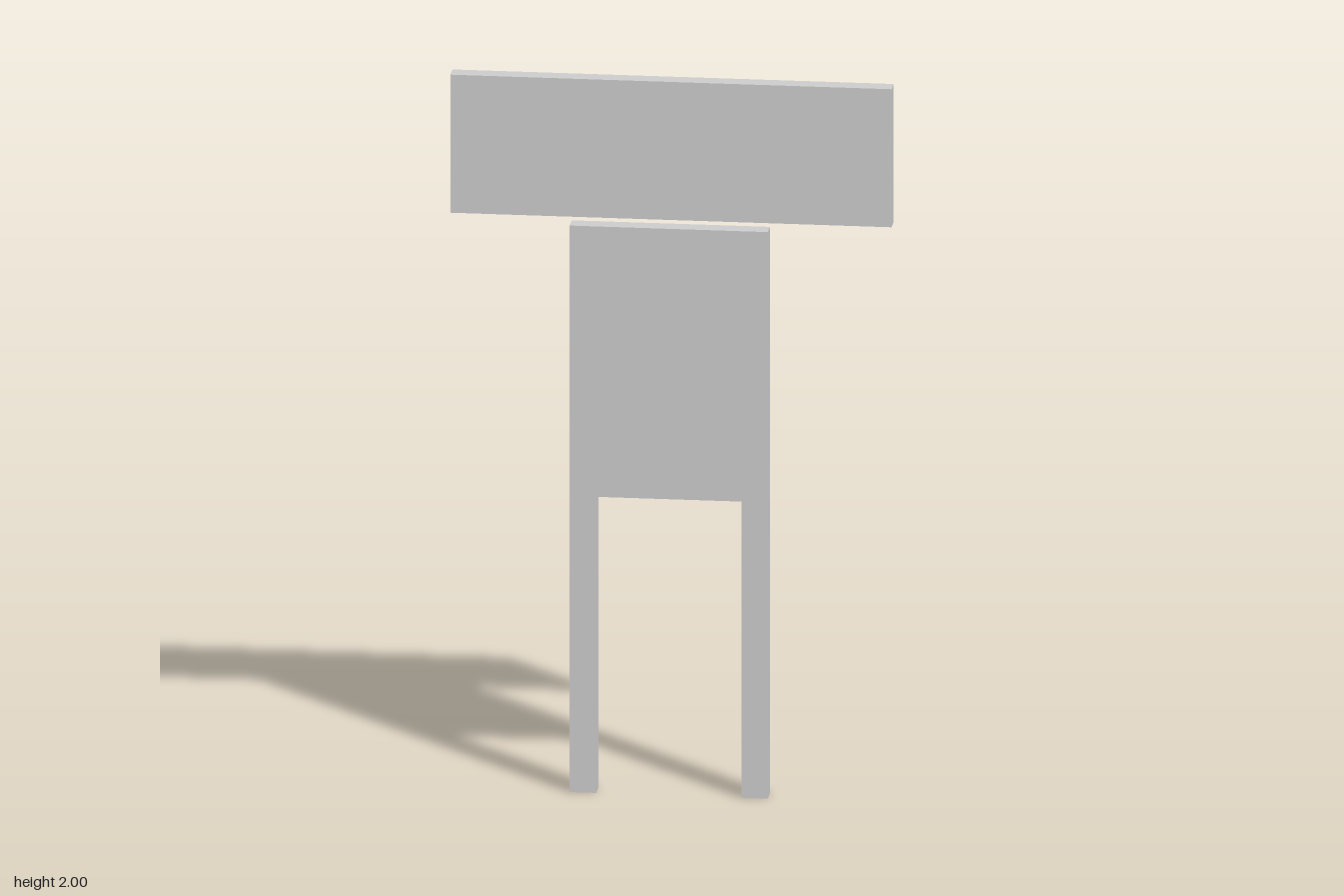
import * as THREE from 'three';

const DEPTH = 0.05;

export function createModel() {
  const model = new THREE.Group();
  const material = new THREE.MeshStandardMaterial({ color: 0xcccccc, flatShading: true });

  // Flat slab given by its left, right, bottom and top edges
  function slab(name, x0, x1, y0, y1) {
    const mesh = new THREE.Mesh(new THREE.BoxGeometry(x1 - x0, y1 - y0, DEPTH), material);
    mesh.position.set((x0 + x1) / 2, (y0 + y1) / 2, 0);
    mesh.name = name;
    model.add(mesh);
  }

  // Wide board floating just above the panel
  slab('topBoard', -0.597, 0.597, 1.613, 2);

  // Main panel
  slab('panel', -0.274, 0.262, 0.83, 1.588);

  // Two legs, let slightly into the panel
  slab('rightLeg', -0.274, -0.202, 0, 0.843);
  slab('leftLeg', 0.191, 0.262, 0, 0.843);

  return model;
}
